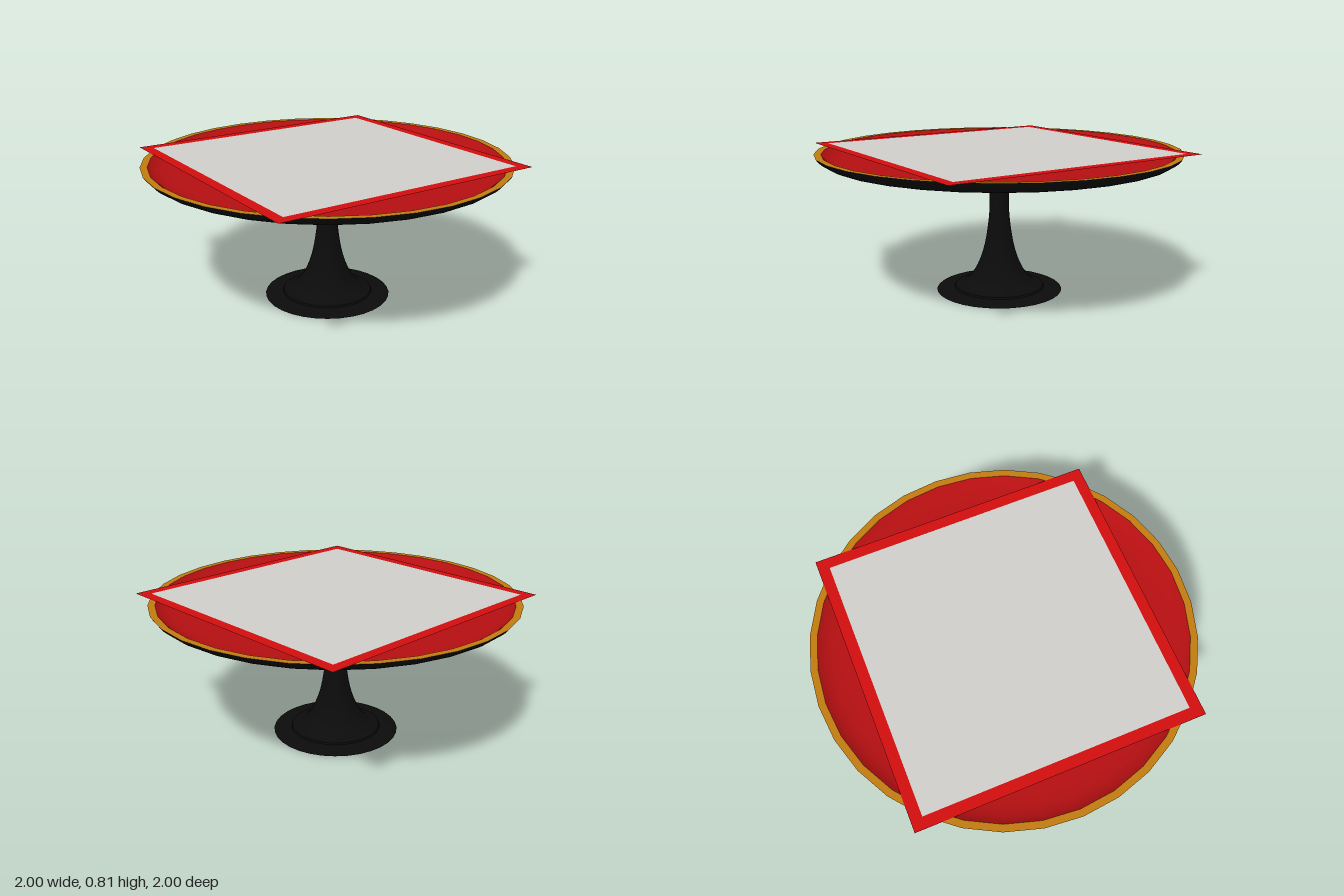
import * as THREE from 'three';

const SIDES = 32;

function material(name, color, doubleSided = false) {
  const m = new THREE.MeshStandardMaterial({ color });
  m.name = name;
  if (doubleSided) m.side = THREE.DoubleSide;
  return m;
}

// Smooth profile through [radius, height] points
function curve(points, samples) {
  const v = points.map(([r, y]) => new THREE.Vector2(r, y));
  return new THREE.SplineCurve(v).getPoints(samples);
}

const straight = (points) => points.map(([r, y]) => new THREE.Vector2(r, y));

function square(half) {
  const s = new THREE.Shape();
  s.moveTo(-half, -half);
  s.lineTo(half, -half);
  s.lineTo(half, half);
  s.lineTo(-half, half);
  s.closePath();
  return s;
}

export function createModel() {
  const model = new THREE.Group();
  model.name = 'pedestalTable';

  const black = material('gloss black', 0x0b0b0b);
  const gold = material('gold', 0xc17b10);
  const deepRed = material('deep red', 0xb50f11);
  const red = material('cloth red', 0xd20d0e, true);
  const grey = material('pale grey', 0xd0cec9, true);

  const add = (name, geometry, mat) => {
    const mesh = new THREE.Mesh(geometry, mat);
    mesh.name = name;
    model.add(mesh);
    return mesh;
  };
  const turn = (name, profile, mat) =>
    add(name, new THREE.LatheGeometry(profile, SIDES), mat);

  // Foot: flat underside and a thin flared disc
  turn('footUnderside', straight([[0, 0], [0.355, 0]]), black);
  turn('footDisc', curve([[0.355, 0], [0.34, 0.007], [0.29, 0.013], [0.25, 0.016]], 8), black);
  turn('footStep', straight([[0.255, 0.015], [0.25, 0.025]]), black);

  // Trumpet-shaped stem flowing into the underside of the top
  turn('stem', curve([
    [0.25, 0.025], [0.2, 0.043], [0.15, 0.093], [0.11, 0.17], [0.08, 0.27],
    [0.06, 0.4], [0.054, 0.5], [0.056, 0.58], [0.07, 0.635], [0.11, 0.665],
    [0.18, 0.69], [0.3, 0.712], [0.5, 0.726], [0.7, 0.731], [0.86, 0.735],
    [0.92, 0.744], [0.965, 0.765], [0.99, 0.787], [1, 0.801],
  ], 64), black);

  // Rim and shallow dished top
  turn('rim', straight([[1, 0.801], [0.962, 0.8]]), gold);
  turn('dish', curve([
    [0.962, 0.8], [0.93, 0.778], [0.88, 0.762], [0.78, 0.753], [0.5, 0.75], [0, 0.75],
  ], 24), deepRed);

  // Square cloth lying flat across the rim, with a pale centre
  const border = square(0.77);
  border.holes.push(square(0.71));
  for (const [name, shape, mat] of [
    ['clothBorder', border, red],
    ['clothCentre', square(0.71), grey],
  ]) {
    const geometry = new THREE.ShapeGeometry(shape);
    geometry.rotateX(-Math.PI / 2);
    add(name, geometry, mat).position.y = 0.805;
  }

  return model;
}
